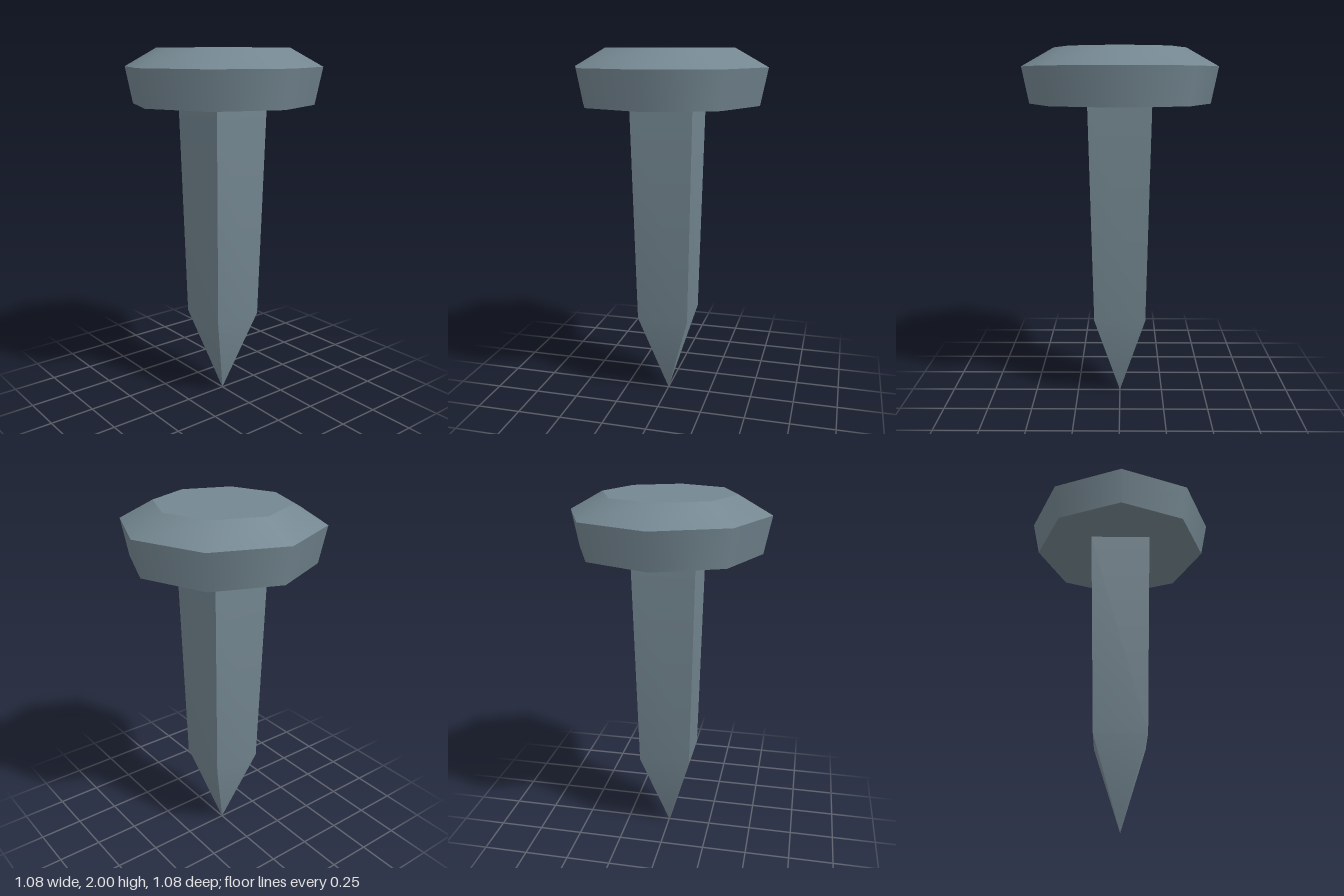
import * as THREE from 'three';
import { toCreasedNormals } from 'three/addons/utils/BufferGeometryUtils.js';

export function createModel() {
  const model = new THREE.Group();
  model.name = 'nail';
  const steel = new THREE.MeshStandardMaterial({ color: 0x748791 });
  steel.name = 'blue grey steel';

  const add = (name, geometry, parent) => {
    const mesh = new THREE.Mesh(geometry, steel);
    mesh.name = name;
    parent.add(mesh);
    return mesh;
  };

  // Octagonal head: smooth bands with sharp rims and flat caps
  const head = new THREE.Group();
  head.name = 'head';
  model.add(head);
  const band = (name, topRadius, bottomRadius, bottom, top) => {
    const geometry = new THREE.CylinderGeometry(topRadius, bottomRadius, top - bottom, 8, 1, true);
    add(name, geometry, head).position.y = (bottom + top) / 2;
  };
  band('headSide', 0.54, 0.5, 1.7, 1.9);
  band('headBevel', 0.36, 0.54, 1.9, 2);
  add('headTop', new THREE.CircleGeometry(0.36, 8).rotateX(-Math.PI / 2).translate(0, 2, 0), head);
  add('headUnderside', new THREE.CircleGeometry(0.5, 8).rotateX(Math.PI / 2).translate(0, 1.7, 0), head);

  // Square tapered shaft ending in a point; profile is half width and height
  const profile = [[0, 0], [0.145, 0.49], [0.172, 1.7]]
    .map(([half, y]) => new THREE.Vector2(half * Math.SQRT2, y));
  const shaft = new THREE.LatheGeometry(profile, 4, Math.PI / 4);
  add('shaft', toCreasedNormals(shaft, 0.6), model);

  return model;
}
